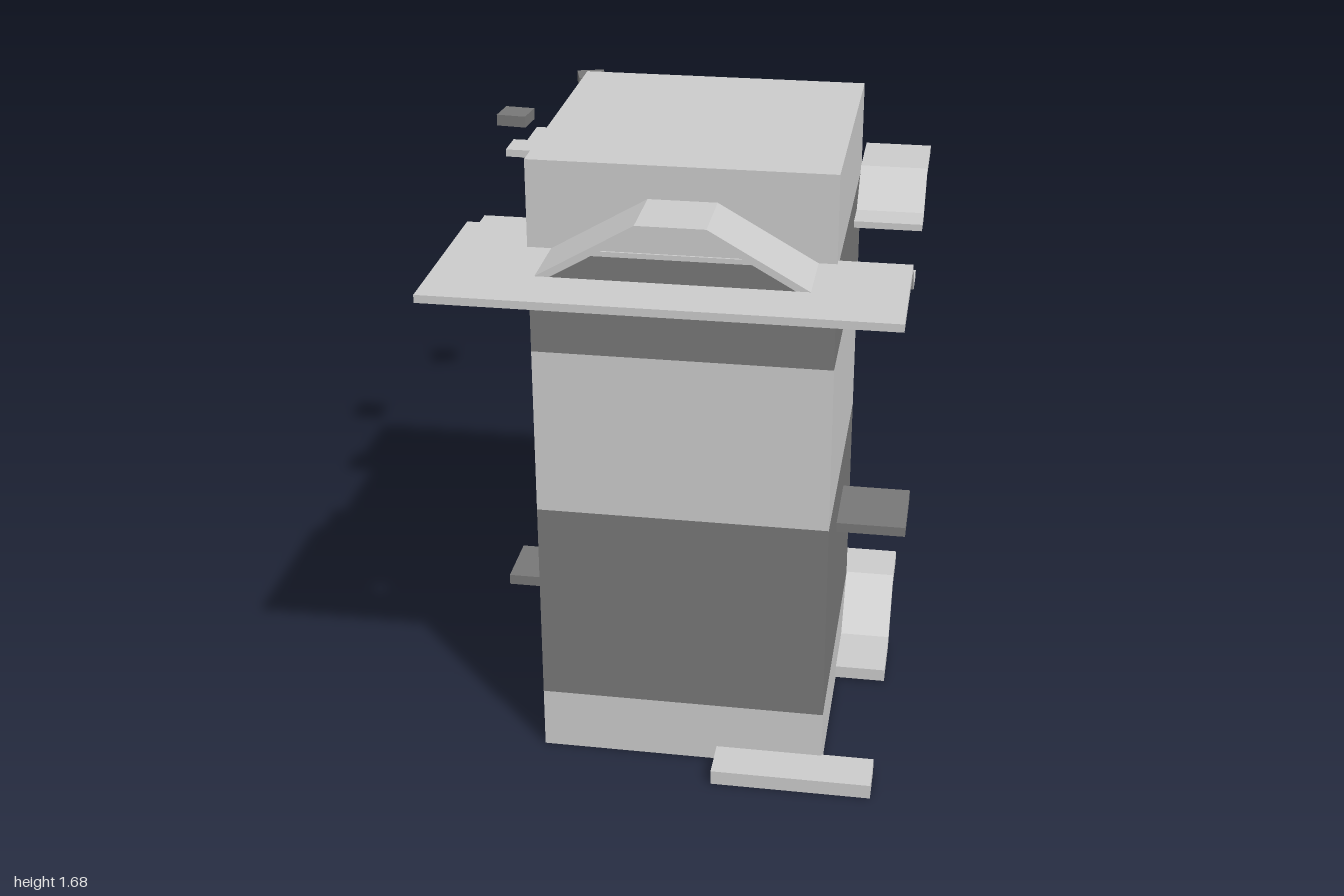
import * as THREE from 'three';

const light = new THREE.MeshStandardMaterial({ color: 0xcccccc, flatShading: true });
const dark = new THREE.MeshStandardMaterial({ color: 0x777777, flatShading: true });

export function createModel() {
  const model = new THREE.Group();

  const add = (name, geometry, material) => {
    const mesh = new THREE.Mesh(geometry, material);
    mesh.name = name;
    model.add(mesh);
    return mesh;
  };

  // Box given by its extents on each axis
  const box = (name, [x0, x1], [y0, y1], [z0, z1], material = light) => {
    const mesh = add(name, new THREE.BoxGeometry(x1 - x0, y1 - y0, z1 - z0), material);
    mesh.position.set((x0 + x1) / 2, (y0 + y1) / 2, (z0 + z1) / 2);
    return mesh;
  };

  // Closed band below a line of top points
  const band = (top, t) => new THREE.Shape([
    ...top.map(([u, y]) => new THREE.Vector2(u, y)),
    ...[...top].reverse().map(([u, y]) => new THREE.Vector2(u, y - t)),
  ]);

  // Walkway with a stepped (z, y) profile, running between x0 and x1
  const ramp = (name, [x0, x1], top, t) => {
    const g = new THREE.ExtrudeGeometry(band(top, t), { depth: x1 - x0, bevelEnabled: false });
    g.rotateY(-Math.PI / 2).translate(x1, 0, 0);
    add(name, g, light);
  };

  // Tower: stacked light and dark storeys
  const levels = [0, 0.17, 0.73, 1.18, 1.445, 1.685];
  for (let i = 0; i < 5; i++) {
    box('towerStorey' + (i + 1), [-0.31, 0.45], [levels[i], levels[i + 1]], [-0.1, 0.66], i % 2 ? dark : light);
  }

  // Front deck with an opening under the arch
  const rect = (C, x0, x1, z0, z1) => new C([[x0, z0], [x1, z0], [x1, z1], [x0, z1]]
    .map(([x, z]) => new THREE.Vector2(x, -z)));
  const deck = rect(THREE.Shape, -0.5, 0.63, 0.66, 1);
  deck.holes.push(rect(THREE.Path, -0.24, 0.4, 0.665, 0.845));
  const deckGeometry = new THREE.ExtrudeGeometry(deck, { depth: 0.02, bevelEnabled: false });
  deckGeometry.rotateX(-Math.PI / 2).translate(0, 1.44, 0);
  add('frontDeck', deckGeometry, light);

  // Arch over the deck opening
  const arch = new THREE.Shape([
    [-0.255, 1.457], [-0.01, 1.6], [0.16, 1.6], [0.41, 1.457],
    [0.375, 1.457], [0.155, 1.583], [-0.003, 1.583], [-0.22, 1.457],
  ].map(([x, y]) => new THREE.Vector2(x, y)));
  const archGeometry = new THREE.ExtrudeGeometry(arch, { depth: 0.185, bevelEnabled: false });
  archGeometry.translate(0, 0, 0.66);
  add('deckArch', archGeometry, light);

  // Back deck and the arms that step up or down along the sides
  box('backDeck', [-0.31, 0.3], [1.44, 1.46], [-0.28, -0.1]);
  const right = [-0.5, -0.31], left = [0.45, 0.63];
  ramp('frontLeftArm', left, [[0.66, 1.46], [0.635, 1.46], [0.54, 1.375], [0.455, 1.375]], 0.018);
  ramp('frontRightArm', right, [[0.66, 1.46], [0.51, 1.46], [0.44, 1.415], [0.34, 1.415]], 0.018);
  ramp('backLeftArm', left, [[-0.28, 1.46], [-0.08, 1.46], [0.04, 1.375], [0.13, 1.375]], 0.018);
  ramp('backRightArm', right, [[-0.28, 1.46], [-0.06, 1.46], [0, 1.513], [0.09, 1.513]], 0.02);

  // Ground steps and ramp
  box('frontStep', [0.165, 0.59], [0, 0.04], [0.655, 0.775]);
  ramp('groundRamp', [0.45, 0.59], [[0.22, 0.04], [0.04, 0.04], [-0.1, 0.17], [-0.245, 0.17]], 0.036);
  box('rampLanding', [0.3, 0.45], [0.134, 0.17], [-0.245, -0.1]);

  // Ladder panel with rungs and its landing
  box('ladderPanel', [0.26, 0.3], [0.73, 1.18], [-0.25, -0.1]);
  for (let i = 0; i < 14; i++) {
    const y = 0.75 + i * 0.03;
    box('ladderRung', [0.298, 0.312], [y, y + 0.014], [-0.25, -0.1]);
  }
  box('ladderLanding', [0.15, 0.3], [1.18, 1.21], [-0.41, -0.1], dark);

  // Side ledges
  box('leftLedge', [0.45, 0.635], [0.58, 0.607], [0.175, 0.392], dark);
  box('rightLedge', [-0.475, -0.31], [0.303, 0.332], [0.17, 0.34], dark);

  // Floating stepping blocks: x, y, z, size, turn
  for (const [x, y, z, s, turn] of [
    [0.07, 1.28, -0.422, 0.146, -0.35],
    [0.065, 1.315, -0.76, 0.13, -0.04],
    [-0.475, 1.411, -0.948, 0.085, 0.28],
    [-0.592, 1.448, -0.402, 0.087, -0.09],
  ]) {
    const mesh = add('floatingBlock', new THREE.BoxGeometry(s, 0.033, s), dark);
    mesh.position.set(x, y, z);
    mesh.rotation.y = turn;
  }
  return model;
}
